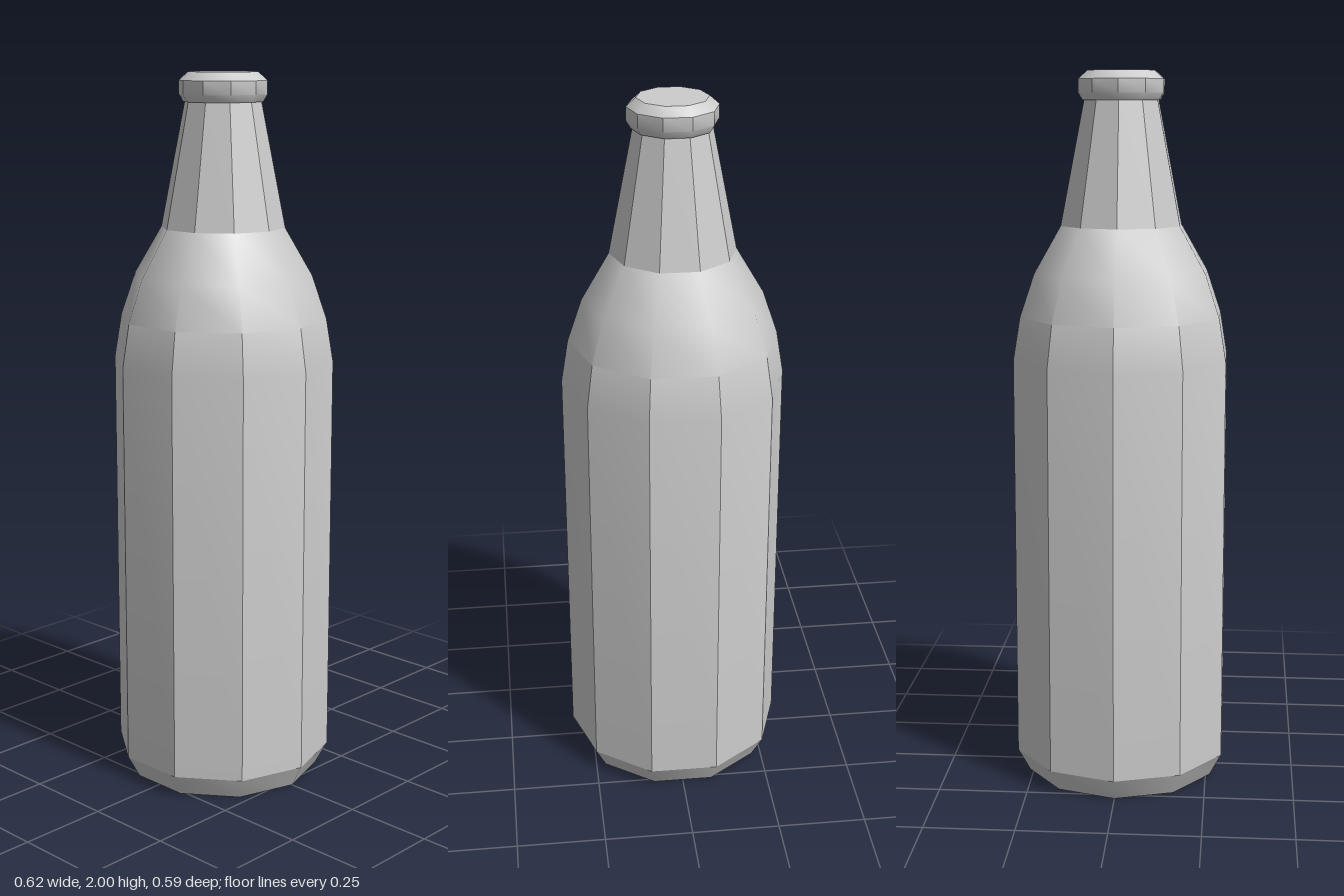
import * as THREE from 'three';
import { toCreasedNormals } from 'three/addons/utils/BufferGeometryUtils.js';

const SIDES = 10;

export function createModel() {
  const bottle = new THREE.Group();
  bottle.name = 'bottle';
  const grey = new THREE.MeshStandardMaterial({ color: 0xcccccc });
  grey.name = 'light grey';

  const add = (name, geometry) => {
    const mesh = new THREE.Mesh(geometry, grey);
    mesh.name = name;
    bottle.add(mesh);
    return mesh;
  };

  // Ten-sided ring of [radius, height] points, with a corner on the x axis
  const turned = (name, profile) => {
    const points = profile.map(([r, y]) => new THREE.Vector2(r, y));
    const lathe = new THREE.LatheGeometry(points, SIDES, Math.PI / 2);
    return add(name, toCreasedNormals(lathe, THREE.MathUtils.degToRad(35)));
  };

  // Flat ten-sided disc facing up or down
  const disc = (name, radius, y, up) => {
    const mesh = add(name, new THREE.CircleGeometry(radius, SIDES));
    mesh.rotation.x = up ? -Math.PI / 2 : Math.PI / 2;
    mesh.position.y = y;
  };

  // Base
  disc('baseUnderside', 0.275, 0, false);
  turned('baseBevel', [[0.275, 0], [0.31, 0.065]]);

  // Straight body running into the rounded shoulder
  turned('bodyAndShoulder', [
    [0.31, 0.065], [0.31, 1.21], [0.29, 1.33], [0.249, 1.45], [0.173, 1.58],
  ]);

  // Tapered neck
  turned('neck', [[0.173, 1.58], [0.105, 1.925]]);

  // Cap with bevelled rims
  disc('capUnderside', 0.11, 1.92, false);
  turned('cap', [[0.11, 1.92], [0.122, 1.94], [0.122, 1.977], [0.096, 2]]);
  disc('capTop', 0.096, 2, true);

  return bottle;
}
